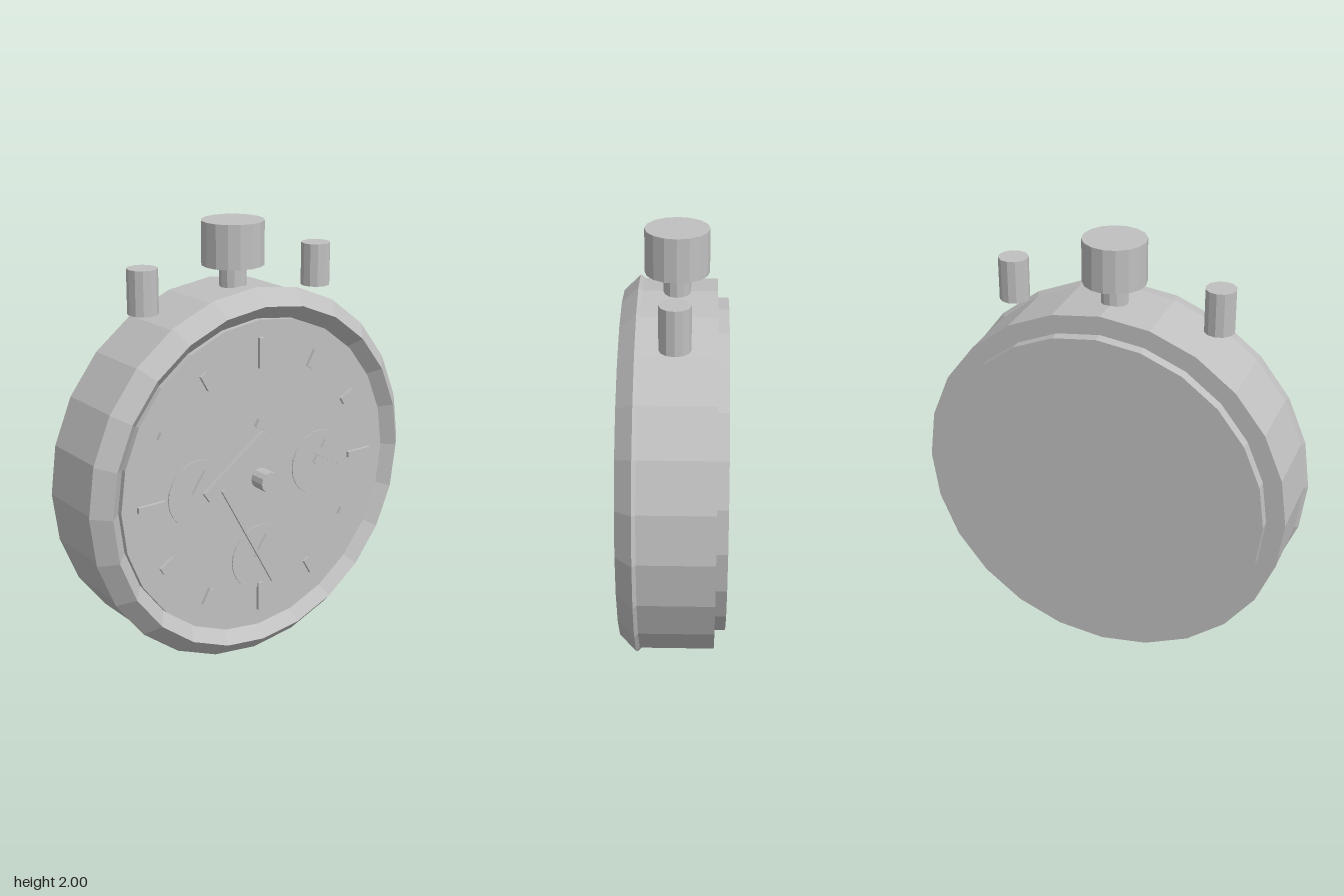
import * as THREE from 'three';

export function createModel() {
  const model = new THREE.Group();
  model.name = 'stopwatch';
  const grey = new THREE.MeshStandardMaterial({ color: 0xc0c0c0 });
  grey.name = 'plain grey';
  grey.flatShading = true;
  const CY = 0.866; // height of the dial centre

  const add = (name, geometry, x, y, z) => {
    const mesh = new THREE.Mesh(geometry, grey);
    mesh.name = name;
    mesh.position.set(x, y, z);
    model.add(mesh);
    return mesh;
  };
  // Disc facing the front, between two depths
  const disc = (name, r, z0, z1, sides, x = 0, y = CY) => {
    const g = new THREE.CylinderGeometry(r, r, z1 - z0, sides).rotateX(Math.PI / 2);
    return add(name, g, x, y, (z0 + z1) / 2);
  };
  // Upright cylinder between two heights
  const post = (name, r, y0, y1, sides, x) =>
    add(name, new THREE.CylinderGeometry(r, r, y1 - y0, sides), x, (y0 + y1) / 2, -0.027);
  // Flat bar lying over the dial, turned by an angle from the x axis
  const bar = (name, x, y, length, width, degrees, z0, z1) => {
    const mesh = add(name, new THREE.BoxGeometry(length, width, z1 - z0), x, y, (z0 + z1) / 2);
    mesh.rotation.z = THREE.MathUtils.degToRad(degrees);
    return mesh;
  };

  // Case, back cover and faceted bezel
  disc('caseBody', 0.85, -0.203, 0.14, 24);
  disc('backCover', 0.765, -0.253, -0.2, 24);
  add('bezel', new THREE.TorusGeometry(0.793, 0.073, 4, 24), 0, CY, 0.14);
  disc('dial', 0.73, 0.13, 0.175, 24);

  // Hour markers, longer at the quarters
  for (let i = 0; i < 12; i++) {
    const a = (i * Math.PI) / 6;
    const quarter = i % 3 === 0;
    bar('hourMarker', 0.583 * Math.cos(a), CY + 0.583 * Math.sin(a),
      quarter ? 0.137 : 0.08, quarter ? 0.027 : 0.035, i * 30, 0.17, 0.19);
  }

  // Small dials with their hands
  for (const [x, y] of [[-0.34, 0.868], [0.34, 0.868], [0, 0.483]]) {
    disc('smallDial', 0.155, 0.17, 0.18, 24, x, y);
    bar('smallHand', x + 0.005, y + 0.05, 0.12, 0.022, 55, 0.178, 0.192);
  }

  // Main hands and centre cap
  bar('hourHand', -0.147, 0.963, 0.4, 0.055, 35, 0.19, 0.208);
  bar('minuteHand', 0.217, 0.992, 0.6, 0.038, -30, 0.198, 0.216);
  bar('secondHand', -0.095, 0.617, 0.58, 0.014, -61, 0.212, 0.224);
  disc('centreCap', 0.047, 0.17, 0.253, 12);

  // Crown and the two push buttons
  post('crownStem', 0.06, 1.68, 1.82, 12, 0);
  post('crown', 0.14, 1.805, 2.0, 16, 0);
  for (const side of [-1, 1]) post('pushButton', 0.067, 1.652, 1.847, 12, side * 0.47);

  return model;
}
